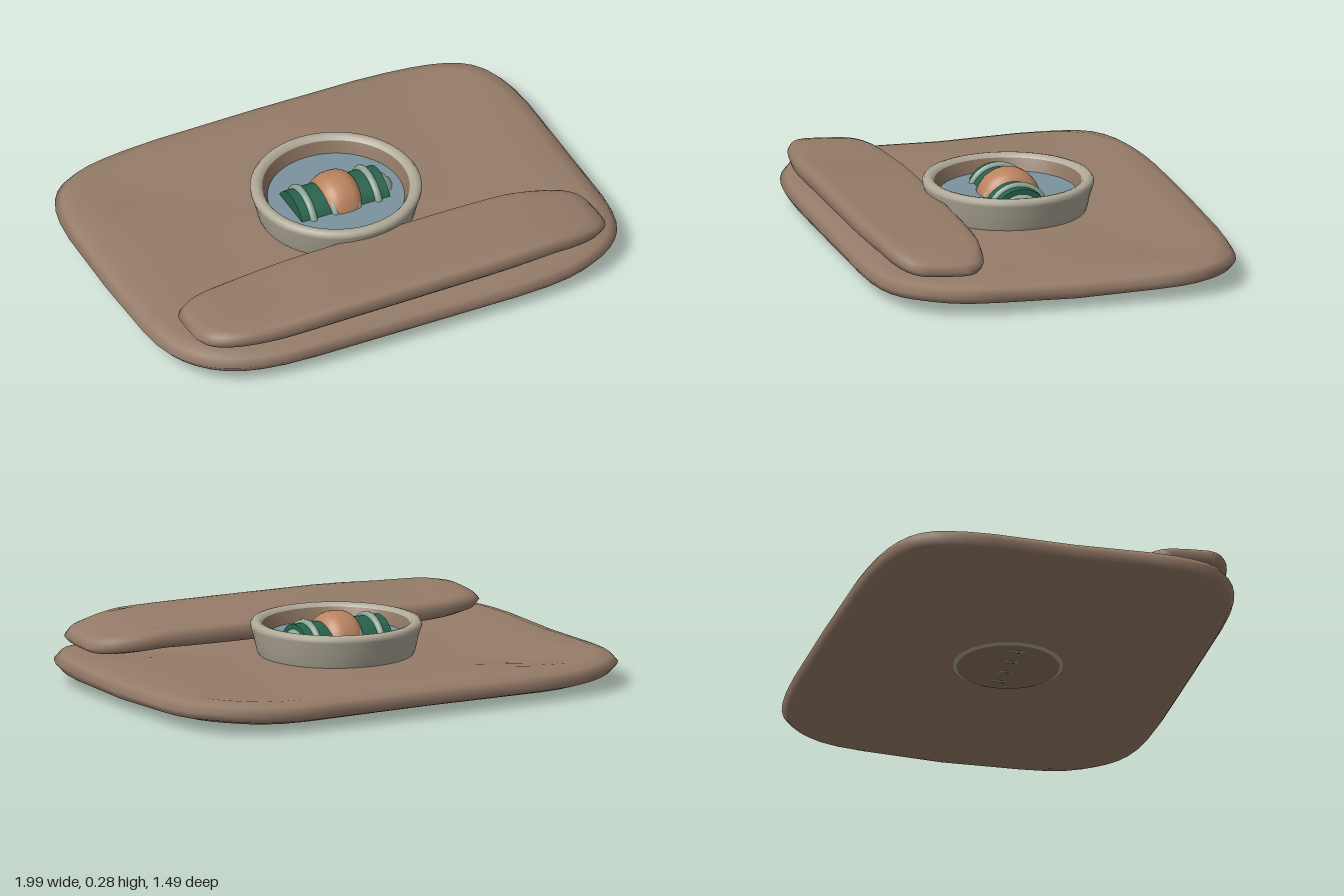
import * as THREE from 'three';

const mat = (color) => new THREE.MeshStandardMaterial({ color });
const add = (parent, name, geometry, material, x = 0, y = 0, z = 0) => {
  const mesh = new THREE.Mesh(geometry, material);
  mesh.name = name;
  mesh.position.set(x, y, z);
  parent.add(mesh);
  return mesh;
};
const lathe = (points) =>
  new THREE.LatheGeometry(points.map(([r, y]) => new THREE.Vector2(r, y)), 48);
const bump = (v, centre, width) => Math.exp(-(((v - centre) / width) ** 2));

// Soft cloth slab: loops of a rounded rectangle from top centre, round the edge, to bottom centre
function clothSlab(halfX, halfZ, power, halfThick, midHeight) {
  const n = 48;
  const top = [[0.01, 1], [0.2, 1], [0.4, 1], [0.6, 1], [0.8, 1], [0.92, 0.9], [0.975, 0.6]];
  const loops = [...top, [1, 0], ...top.map(([r, h]) => [r, -h]).reverse()];
  const pos = [], idx = [];
  const bend = (v) => Math.sign(v) * Math.abs(v) ** (2 / power);
  loops.forEach(([r, h]) => {
    for (let i = 0; i < n; i++) {
      const a = (i / n) * Math.PI * 2;
      const x = halfX * r * bend(Math.cos(a)), z = halfZ * r * bend(Math.sin(a));
      pos.push(x, midHeight(x, z) + h * halfThick, z);
    }
  });
  for (let j = 0; j < loops.length - 1; j++) {
    for (let i = 0; i < n; i++) {
      const a = j * n + i, b = j * n + ((i + 1) % n), c = a + n, d = b + n;
      idx.push(a, b, c, b, d, c);
    }
  }
  // Close the two tiny centres
  const last = (loops.length - 1) * n;
  for (let i = 1; i < n - 1; i++) {
    idx.push(0, i + 1, i, last, last + i, last + i + 1);
  }
  const g = new THREE.BufferGeometry();
  g.setAttribute('position', new THREE.Float32BufferAttribute(pos, 3));
  g.setIndex(idx);
  g.computeVertexNormals();
  return g;
}

export function createModel() {
  const model = new THREE.Group();
  model.name = 'bowlOnCloth';
  const cloth = mat(0x967c69), clay = mat(0xb0a998), brown = mat(0x8c7460);
  const green = mat(0x28634e), pale = mat(0x8da696);
  [clay, brown].forEach((m) => { m.side = THREE.DoubleSide; });

  // Main cloth, sagging gently between the centre and each corner
  add(model, 'cloth', clothSlab(0.995, 0.745, 5, 0.05, (x, z) => {
    const u = Math.abs(x), v = Math.abs(z);
    const sag = bump(u, 0.58, 0.22) * bump(v, 0.45, 0.2);
    const rise = bump(u, 0.9, 0.15) * bump(v, 0.4, 0.25);
    return 0.077 + 0.012 * bump(v, 0.62, 0.12) - 0.024 * sag + 0.012 * rise;
  }), cloth);

  // Folded flap along the front edge, drooping at its left end
  add(model, 'foldedFlap', clothSlab(0.885, 0.215, 4, 0.038, (x, z) =>
    0.187 + 0.012 * x + 0.06 * z - 0.008 * bump(x, -0.6, 0.18) - 0.032 * Math.max(0, x - 0.6) / 0.28
  ), cloth, 0, 0, 0.495);

  // Bowl: pale outside and rounded rim, brown lining and base
  const bowl = new THREE.Group();
  bowl.name = 'bowl';
  model.add(bowl);
  add(bowl, 'bowlShell', lathe([
    [0.2, 0.02], [0.25, 0.045], [0.285, 0.085], [0.309, 0.14], [0.323, 0.2], [0.333, 0.23],
    [0.334, 0.243], [0.326, 0.254], [0.311, 0.258], [0.295, 0.254], [0.286, 0.243],
  ]), clay);
  add(bowl, 'bowlLining', lathe([[0.286, 0.243], [0.276, 0.22], [0.265, 0.19]]), brown);
  add(bowl, 'bowlBase', lathe([[0, 0.019], [0.2, 0.02]]), brown);
  const liquid = add(bowl, 'liquid', new THREE.CircleGeometry(0.267, 48), mat(0x7b939f), 0, 0.195, 0);
  liquid.rotation.x = -Math.PI / 2;

  // Banded roll lying across the bowl
  const roll = new THREE.Group();
  roll.name = 'bandedRoll';
  roll.position.y = 0.143;
  model.add(roll);
  const body = add(roll, 'rollBody', new THREE.CylinderGeometry(0.113, 0.113, 0.38, 32), green, -0.005);
  body.rotation.z = Math.PI / 2;
  [-0.145, -0.05, 0.045, 0.135].forEach((x) => {
    const band = add(roll, 'rollBand', new THREE.TorusGeometry(0.113, 0.015, 10, 36), pale, x);
    band.rotation.y = Math.PI / 2;
  });
  add(roll, 'rollEndCap', new THREE.SphereGeometry(0.1, 24, 16), pale, 0.148);

  // Full, slightly squared ball round the middle of the roll
  const ballProfile = [];
  for (let i = 0; i <= 16; i++) {
    const a = (i / 16 - 0.5) * Math.PI;
    ballProfile.push([
      0.126 * Math.max(0, Math.cos(a)) ** 0.75,
      0.092 * Math.sign(a) * Math.abs(Math.sin(a)) ** 0.75,
    ]);
  }
  const ball = add(roll, 'ball', lathe(ballProfile), mat(0xba835f), 0, 0.021, 0);
  ball.rotation.z = Math.PI / 2;

  return model;
}
